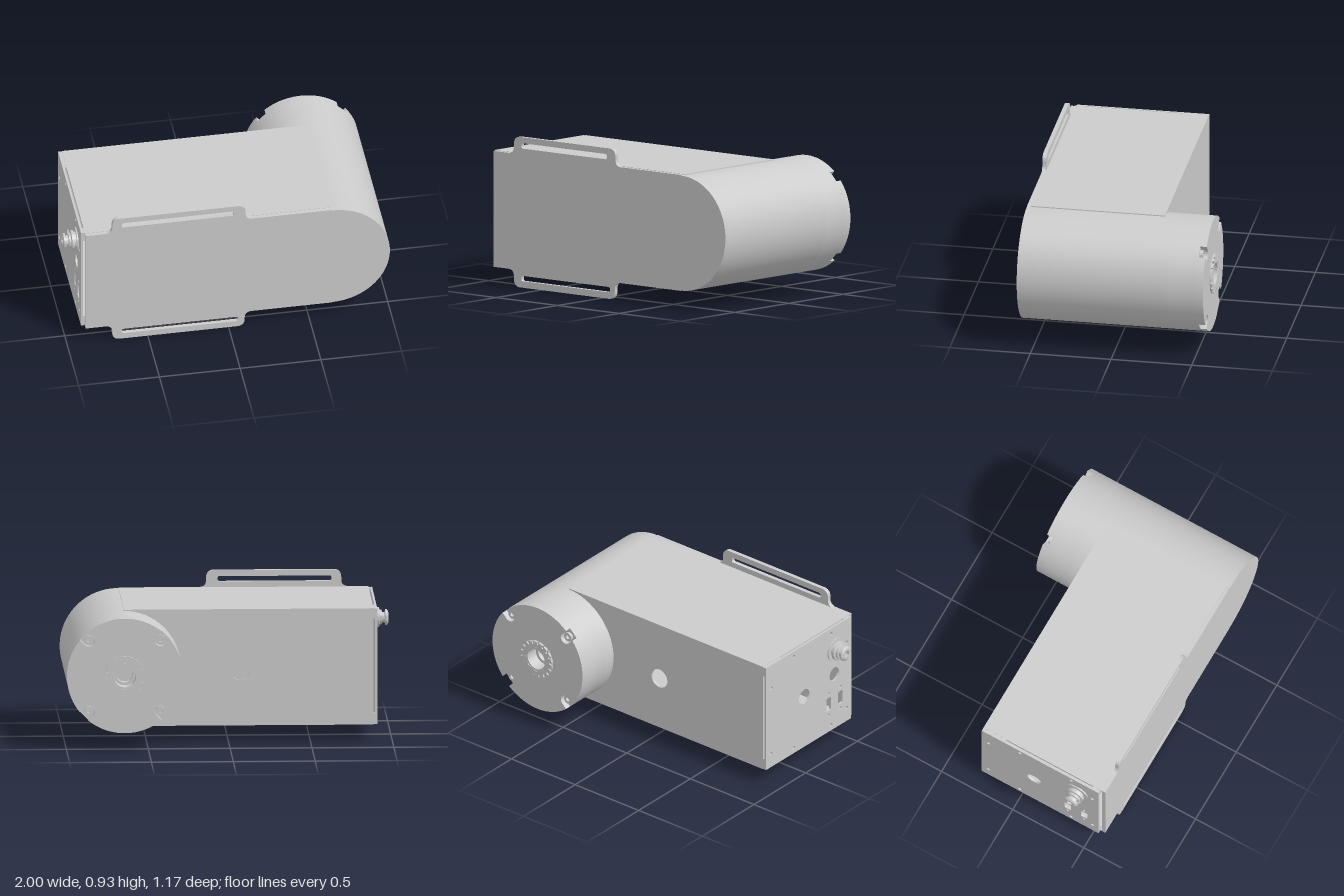
import * as THREE from 'three';
import { toCreasedNormals } from 'three/addons/utils/BufferGeometryUtils.js';

const CX = 0.645, CY = 0.465, R = 0.354; // barrel axis and radius
const LOW = 0.108, HIGH = 0.823;         // housing bottom and top
const BACK = -0.27, LEFT = -0.885;

export function createModel() {
  const model = new THREE.Group();
  const material = new THREE.MeshStandardMaterial({ color: 0xcccccc });

  const add = (name, geometry, x = 0, y = 0, z = 0) => {
    const mesh = new THREE.Mesh(geometry, material);
    mesh.name = name;
    mesh.position.set(x, y, z);
    model.add(mesh);
    return mesh;
  };
  const box = (name, x0, x1, y0, y1, z0, z1) =>
    add(name, new THREE.BoxGeometry(x1 - x0, y1 - y0, z1 - z0), (x0 + x1) / 2, (y0 + y1) / 2, (z0 + z1) / 2);
  const extrude = (shape, depth, curveSegments = 32) =>
    toCreasedNormals(new THREE.ExtrudeGeometry(shape, { depth, curveSegments, bevelEnabled: false }), 0.45);
  const circle = (x, y, r, Type = THREE.Path) => new Type().absarc(x, y, r, 0, Math.PI * 2, false);
  const ring = (outer, inner) => {
    const s = circle(0, 0, outer, THREE.Shape);
    s.holes.push(circle(0, 0, inner));
    return s;
  };

  // Line through corners [x, y, radius], rounding each one
  const roundedLine = (path, corners) => {
    for (let i = 1; i < corners.length - 1; i++) {
      const [p, a, b] = [corners[i], corners[i - 1], corners[i + 1]].map(c => new THREE.Vector2(c[0], c[1]));
      const r = corners[i][2] || 0;
      const start = p.clone().add(a.sub(p).setLength(r));
      const end = p.clone().add(b.sub(p).setLength(r));
      path.lineTo(start.x, start.y);
      if (r) path.quadraticCurveTo(p.x, p.y, end.x, end.y);
    }
    return path;
  };
  const slot = (x0, x1, y0, y1, r) => {
    const path = new THREE.Path().moveTo((x0 + x1) / 2, y0);
    const mid = [(x0 + x1) / 2, y0];
    roundedLine(path, [mid, [x1, y0, r], [x1, y1, r], [x0, y1, r], [x0, y0, r], mid]);
    path.closePath();
    return path;
  };

  // Front plate with slotted mounting ears above and below
  const plate = new THREE.Shape();
  plate.absarc(CX, CY, R, -Math.PI / 2, Math.PI / 2, false);
  roundedLine(plate, [
    [CX, CY + R], [CX - 0.01, HIGH],
    [0.105, HIGH, 0.045], [0.105, 0.93, 0.05], [-0.72, 0.93, 0.05], [-0.72, HIGH, 0.045],
    [LEFT, HIGH], [LEFT, LOW],
    [-0.72, LOW, 0.045], [-0.72, 0.002, 0.05], [0.1, 0.002, 0.05], [0.1, LOW, 0.045],
    [CX - 0.01, LOW], [CX, CY - R],
  ]);
  plate.holes.push(slot(-0.66, 0.035, 0.86, 0.893, 0.012), slot(-0.66, 0.06, 0.042, 0.075, 0.012));
  add('frontPlate', extrude(plate, 0.025), 0, 0, 0.56);

  // Housing walls
  box('topCover', LEFT, 0.64, HIGH - 0.015, HIGH + 0.002, BACK, 0.56);
  box('bottomCover', LEFT, 0.64, LOW - 0.002, LOW + 0.015, BACK, 0.56);
  const back = new THREE.Shape([[LEFT, LOW], [0.64, LOW], [0.64, HIGH], [LEFT, HIGH]].map(p => new THREE.Vector2(...p)));
  back.holes.push(circle(-0.07, 0.45, 0.062));
  add('backWall', extrude(back, 0.015), 0, 0, BACK);

  // End panel: drawn as (z, y), then turned to face -x
  const panel = new THREE.Shape([[BACK, LOW], [0.55, LOW], [0.55, HIGH], [BACK, HIGH]].map(p => new THREE.Vector2(...p)));
  panel.holes.push(circle(0.1, 0.46, 0.05), circle(0.39, 0.49, 0.045));
  for (const z of [0.335, 0.45]) {
    panel.holes.push(slot(z - 0.022, z + 0.022, 0.255, 0.345, 0.008));
    for (const y of [0.225, 0.375]) panel.holes.push(circle(z, y, 0.01));
  }
  for (const y of [0.145, 0.785]) for (const z of [0, 0.36]) panel.holes.push(circle(z, y, 0.012));
  for (const y of [0.2, 0.66]) for (const z of [-0.22, 0.51]) panel.holes.push(circle(z, y, 0.012));
  add('endPanel', extrude(panel, 0.013, 12).rotateY(-Math.PI / 2), -0.895);

  // Corner tabs joining the panel to the housing
  for (const [z0, z1, wall] of [[BACK, -0.11, BACK], [0.5, 0.55, 0.535]]) {
    for (const [y0, y1, edge] of [[LOW, 0.18, LOW], [0.76, HIGH, HIGH - 0.015]]) {
      box('panelTab', -0.9, -0.87, edge, edge + 0.015, z0, z1);
      box('panelTab', -0.9, -0.87, y0, y1, wall, wall + 0.015);
    }
  }

  // Cable connector
  const profile = [[0, 0], [0.075, 0], [0.075, 0.008], [0.05, 0.008], [0.05, 0.02], [0.06, 0.02], [0.06, 0.036],
    [0.045, 0.04], [0.045, 0.052], [0.032, 0.055], [0.032, 0.07], [0.048, 0.073], [0.048, 0.084],
    [0.036, 0.092], [0.02, 0.092], [0.02, 0.06], [0, 0.06]].map(p => new THREE.Vector2(...p));
  const connector = add('connector', toCreasedNormals(new THREE.LatheGeometry(profile, 32), 0.5), -0.908, 0.66, 0.4);
  connector.rotation.z = Math.PI / 2;

  // Barrel: solid length, bored length, then the notched rear cap
  add('barrel', extrude(circle(0, 0, R, THREE.Shape), 0.91), CX, CY, -0.35);
  add('boredBarrel', extrude(ring(R, 0.075), 0.18), CX, CY, -0.53);
  const cap = new THREE.Shape();
  const half = 0.036, seat = 0.31, spread = Math.asin(half / R);
  for (let i = 0; i < 4; i++) {
    const a = Math.PI / 4 + i * Math.PI / 2;
    const x = seat * Math.cos(a), y = seat * Math.sin(a);
    cap.absarc(0, 0, R, a - Math.PI / 2 + spread, a - spread, false);
    cap.absarc(x, y, half, a - Math.PI / 2, a + Math.PI / 2, true);
    add('screwHead', extrude(ring(0.028, 0.013), 0.018), CX + x, CY + y, -0.548);
  }
  cap.closePath();
  cap.holes.push(circle(0, 0, 0.075));
  add('rearCap', extrude(cap, 0.04), CX, CY, -0.57);

  // Toothed lock ring and inner sleeve around the bore
  const teeth = new THREE.Shape();
  const count = 18;
  for (let i = 0; i < count; i++) {
    const a = (i / count) * Math.PI * 2, step = Math.PI * 2 / count;
    teeth.absarc(0, 0, 0.123, a, a + step * 0.65, false);
    teeth.absarc(0, 0, 0.104, a + step * 0.68, a + step * 0.97, false);
  }
  teeth.closePath();
  teeth.holes.push(circle(0, 0, 0.084));
  add('lockRing', extrude(teeth, 0.015, 4), CX, CY, -0.585);
  add('bearingRing', extrude(ring(0.123, 0.08), 0.007), CX, CY, -0.575);
  add('boreSleeve', extrude(ring(0.08, 0.068), 0.08), CX, CY, -0.583);
  add('boreStep', extrude(ring(0.076, 0.052), 0.05), CX, CY, -0.5);

  return model;
}
